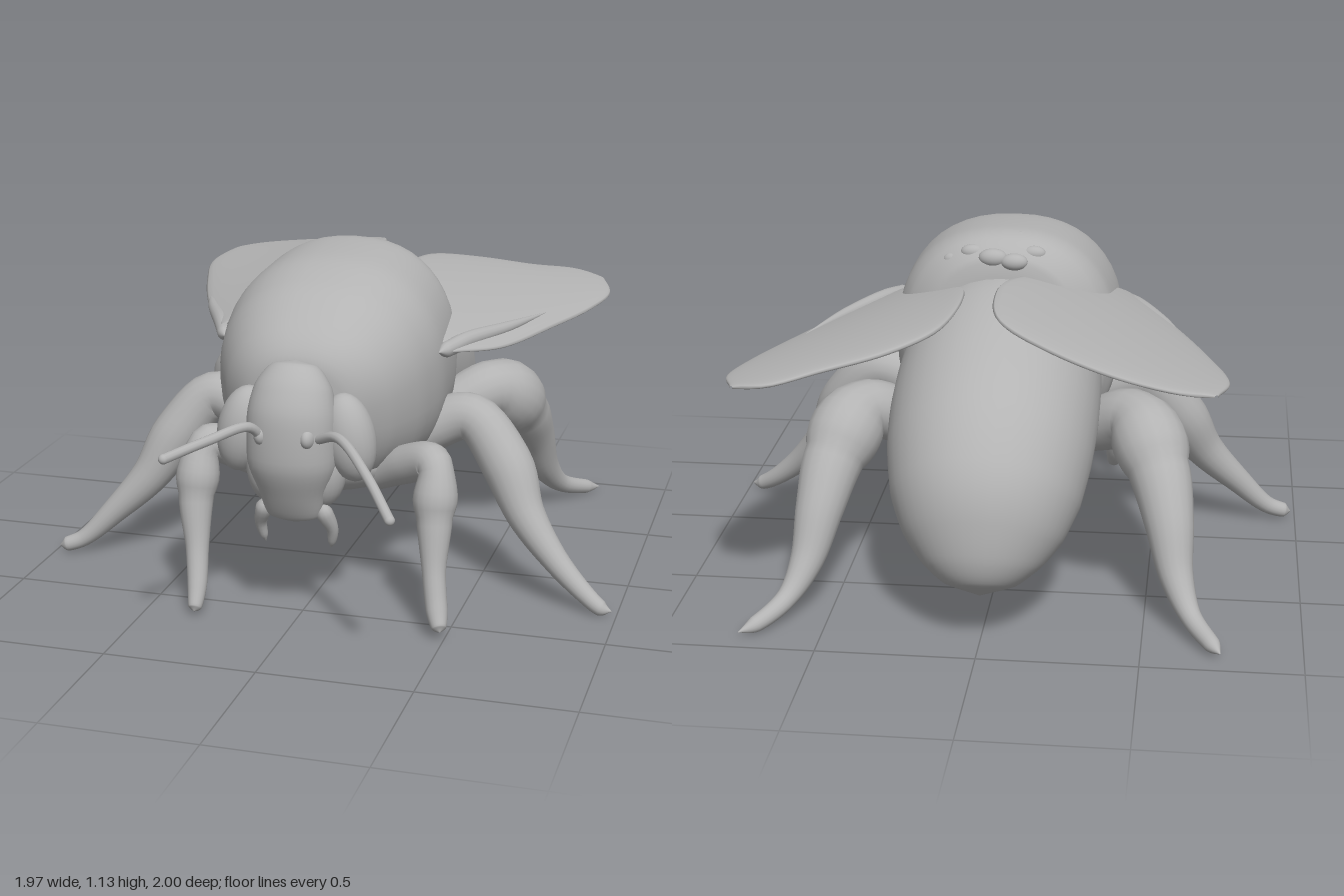
import * as THREE from 'three';

const grey = new THREE.MeshStandardMaterial({ color: 0xb3b3b3 });
grey.name = 'clay grey';

// Smooth skin over closed rings of points, each with the same number of points.
function skin(rings) {
  const pos = [], index = [], sides = rings[0].length;
  rings.forEach((ring, i) => ring.forEach((p, j) => {
    pos.push(p.x, p.y, p.z);
    if (i === rings.length - 1) return;
    const k = (j + 1) % sides, A = i * sides, B = A + sides;
    index.push(A + j, B + j, A + k, B + j, B + k, A + k);
  }));
  const g = new THREE.BufferGeometry();
  g.setAttribute('position', new THREE.Float32BufferAttribute(pos, 3));
  g.setIndex(index);
  g.computeVertexNormals();
  return g;
}

const round = (v, power) => Math.sign(v) * Math.abs(v) ** power;

// Closed loft through stations [x, y, z, half width, half height].
// power < 1 makes the cross-section squarer.
function loft(stations, { rings = 40, sides = 32, power = 1 } = {}) {
  const path = new THREE.CatmullRomCurve3(stations.map(s => new THREE.Vector3(s[0], s[1], s[2])));
  const size = new THREE.CatmullRomCurve3(stations.map(s => new THREE.Vector3(s[3], s[4] ?? s[3], 0)));
  const side = new THREE.Vector3(1, 0, 0), normal = new THREE.Vector3(), list = [];
  for (let i = 0; i <= rings; i++) {
    const c = path.getPoint(i / rings), t = path.getTangent(i / rings), r = size.getPoint(i / rings);
    side.addScaledVector(t, -side.dot(t)).normalize();
    normal.crossVectors(side, t);
    list.push(Array.from({ length: sides }, (_, j) => {
      const a = (j / sides) * Math.PI * 2;
      return c.clone()
        .addScaledVector(side, round(Math.cos(a), power) * Math.max(r.x, 0.001))
        .addScaledVector(normal, round(Math.sin(a), power) * Math.max(r.y, 0.001));
    }));
  }
  return skin(list);
}

// Thin rounded wing between a leading and a trailing edge of [x, z] points.
// It rises towards the body and flattens towards the tip.
function wing(leading, trailing, sign, base) {
  const curve = pts => new THREE.CatmullRomCurve3(pts.map(([x, z]) => new THREE.Vector3(sign * x, 0, z)));
  const front = curve(leading), back = curve(trailing), list = [], rings = 48, sides = 32;
  for (let i = 0; i <= rings; i++) {
    const a = front.getPointAt(i / rings), b = back.getPointAt(i / rings);
    const thick = 0.004 + 0.014 * Math.sin(Math.PI * i / rings) ** 0.5;
    list.push(Array.from({ length: sides }, (_, j) => {
      const angle = (j / sides) * Math.PI * 2;
      const p = a.clone().lerp(b, (1 - Math.cos(angle)) / 2);
      const inward = (0.43 - sign * p.x) * 0.935 + (0.07 - p.z) * 0.355;
      p.y = base + 0.4 * inward * (1 + 0.6 * p.z) + sign * thick * round(Math.sin(angle), 0.6);
      return p;
    }));
  }
  return skin(list);
}

export function createModel() {
  const model = new THREE.Group();
  model.name = 'bee';
  const add = (name, geometry, parent = model) => {
    const m = new THREE.Mesh(geometry, grey);
    m.name = name;
    parent.add(m);
    return m;
  };
  const ball = (name, [x, y, z], [a, b, c], parent) => {
    const m = add(name, new THREE.SphereGeometry(1, 24, 16), parent);
    m.position.set(x, y, z);
    m.scale.set(a, b, c);
    return m;
  };

  // Body
  add('thorax', loft([
    [0, 0.66, 0.565, 0.001, 0.001], [0, 0.665, 0.52, 0.17, 0.18], [0, 0.685, 0.43, 0.275, 0.275],
    [0, 0.71, 0.28, 0.35, 0.35], [0, 0.73, 0.1, 0.38, 0.385], [0, 0.74, -0.1, 0.37, 0.39],
    [0, 0.74, -0.18, 0.335, 0.375], [0, 0.74, -0.25, 0.25, 0.31], [0, 0.74, -0.28, 0.001, 0.001],
  ], { power: 0.86, sides: 48 }));
  add('abdomen', loft([
    [0, 0.69, 0.05, 0.001, 0.001], [0, 0.69, -0.05, 0.29, 0.3], [0, 0.66, -0.25, 0.33, 0.335],
    [0, 0.6, -0.45, 0.335, 0.325], [0, 0.52, -0.61, 0.325, 0.315], [0, 0.415, -0.725, 0.298, 0.29],
    [0, 0.32, -0.795, 0.25, 0.235], [0, 0.245, -0.84, 0.185, 0.175], [0, 0.19, -0.865, 0.11, 0.108],
    [0, 0.16, -0.877, 0.001, 0.001],
  ], { rings: 54, sides: 40 }));
  ball('chestPlate', [0, 0.475, 0.1], [0.32, 0.14, 0.36]);
  // Rough rim behind the thorax
  for (const [x, y, z, r] of [[-0.1, 1.07, -0.2, 0.025], [-0.05, 1.105, -0.14, 0.02], [0.03, 1.06, -0.23, 0.03],
    [0.1, 1.07, -0.2, 0.025], [-0.04, 1.05, -0.24, 0.028], [0.16, 1.04, -0.19, 0.025]])
    ball('rimBump', [x, y, z], [r * 1.6, r, r]);

  // Head
  const head = new THREE.Group();
  head.name = 'head';
  model.add(head);
  add('face', loft([
    [0, 0.35, 0.59, 0.001, 0.001], [0, 0.375, 0.595, 0.085, 0.035], [0, 0.46, 0.605, 0.11, 0.07],
    [0, 0.57, 0.61, 0.145, 0.11], [0, 0.7, 0.605, 0.145, 0.115], [0, 0.8, 0.585, 0.125, 0.095],
    [0, 0.865, 0.565, 0.075, 0.055], [0, 0.88, 0.56, 0.001, 0.001],
  ], { rings: 36 }), head);
  for (const s of [-1, 1]) {
    const eye = ball(s > 0 ? 'leftEye' : 'rightEye', [s * 0.175, 0.64, 0.56], [0.085, 0.145, 0.08], head);
    eye.rotation.z = s * 0.2;
    ball('cheek', [s * 0.085, 0.53, 0.56], [0.08, 0.13, 0.08], head);
    ball('antennaSocket', [s * 0.075, 0.665, 0.68], [0.025, 0.035, 0.04], head);
    add('mandible', loft([
      [s * 0.09, 0.43, 0.6, 0.001], [s * 0.1, 0.39, 0.59, 0.028], [s * 0.12, 0.33, 0.565, 0.02],
      [s * 0.115, 0.28, 0.55, 0.014], [s * 0.11, 0.255, 0.545, 0.001],
    ], { rings: 14, sides: 12 }), head);
  }
  const antennae = {
    rightAntenna: [[-0.07, 0.65, 0.68], [-0.1, 0.705, 0.74], [-0.19, 0.69, 0.86], [-0.285, 0.665, 0.99]],
    leftAntenna: [[0.1, 0.66, 0.67], [0.19, 0.695, 0.74], [0.32, 0.63, 0.88], [0.415, 0.535, 0.975]],
  };
  for (const [name, pts] of Object.entries(antennae)) {
    const tube = new THREE.CatmullRomCurve3(pts.map(p => new THREE.Vector3(...p)));
    add(name, new THREE.TubeGeometry(tube, 24, 0.016, 10), head);
    ball('antennaTip', pts[3], [0.016, 0.016, 0.016], head);
  }

  // Legs: hip, knee, shin, ankle and toe, each [x, y, z, radius]
  const legs = {
    rightFrontLeg: [[-0.2, 0.43, 0.3, 0.05], [-0.28, 0.5, 0.36, 0.065], [-0.35, 0.53, 0.43, 0.06],
      [-0.37, 0.38, 0.48, 0.06], [-0.35, 0.2, 0.54, 0.038], [-0.335, 0.09, 0.59, 0.032], [-0.33, 0.03, 0.63, 0.022], [-0.33, 0.02, 0.64, 0.001]],
    leftFrontLeg: [[0.2, 0.43, 0.3, 0.05], [0.32, 0.5, 0.36, 0.065], [0.42, 0.53, 0.43, 0.06],
      [0.435, 0.38, 0.48, 0.06], [0.45, 0.2, 0.54, 0.038], [0.47, 0.09, 0.58, 0.035], [0.485, 0.045, 0.61, 0.024], [0.49, 0.035, 0.62, 0.001]],
    rightMiddleLeg: [[-0.22, 0.45, 0.09, 0.06], [-0.34, 0.54, 0.05, 0.085], [-0.46, 0.575, 0.04, 0.08],
      [-0.58, 0.44, 0.08, 0.088], [-0.67, 0.29, 0.13, 0.066], [-0.79, 0.16, 0.17, 0.045], [-0.9, 0.055, 0.2, 0.03], [-0.96, 0.03, 0.215, 0.026], [-0.985, 0.025, 0.22, 0.001]],
    leftMiddleLeg: [[0.22, 0.45, 0.09, 0.06], [0.34, 0.54, 0.05, 0.085], [0.46, 0.575, 0.05, 0.08],
      [0.59, 0.44, 0.1, 0.088], [0.67, 0.29, 0.16, 0.066], [0.78, 0.16, 0.21, 0.045], [0.89, 0.065, 0.25, 0.032], [0.95, 0.03, 0.275, 0.026], [0.985, 0.025, 0.28, 0.001]],
    rightHindLeg: [[-0.2, 0.42, -0.17, 0.06], [-0.33, 0.51, -0.26, 0.09], [-0.45, 0.56, -0.35, 0.1],
      [-0.53, 0.45, -0.49, 0.1], [-0.57, 0.32, -0.6, 0.08], [-0.6, 0.17, -0.69, 0.055], [-0.65, 0.075, -0.78, 0.034], [-0.72, 0.035, -0.89, 0.026], [-0.745, 0.025, -0.93, 0.001]],
    leftHindLeg: [[0.2, 0.42, -0.17, 0.06], [0.33, 0.51, -0.26, 0.09], [0.45, 0.56, -0.35, 0.1],
      [0.52, 0.45, -0.49, 0.1], [0.55, 0.32, -0.6, 0.08], [0.58, 0.17, -0.69, 0.055], [0.63, 0.075, -0.78, 0.034], [0.71, 0.03, -0.89, 0.026], [0.755, 0.02, -0.93, 0.001]],
  };
  for (const [name, stations] of Object.entries(legs)) add(name, loft(stations, { rings: 48, sides: 18 }));

  // Wings
  add('rightWing', wing(
    [[0.4, 0.12], [0.54, -0.15], [0.68, -0.52], [0.745, -0.78], [0.71, -0.94]],
    [[0.38, 0.12], [0.15, -0.12], [0.03, -0.32], [0.005, -0.5], [0.04, -0.7], [0.2, -0.84], [0.42, -0.95], [0.6, -0.98], [0.7, -0.95]],
    -1, 0.845));
  add('leftWing', wing(
    [[0.41, 0.14], [0.54, -0.04], [0.66, -0.34], [0.75, -0.6], [0.785, -0.8], [0.74, -0.94]],
    [[0.39, 0.14], [0.18, -0.1], [0.115, -0.3], [0.115, -0.55], [0.16, -0.7], [0.29, -0.82], [0.47, -0.9], [0.62, -0.98], [0.73, -0.95]],
    1, 0.825));
  // Thick shoulder roll at each wing root
  for (const s of [-1, 1])
    add('wingRoot', loft([
      [s * 0.37, 0.825, 0.17, 0.001], [s * 0.385, 0.825, 0.13, 0.026], [s * 0.43, 0.835, 0.03, 0.028],
      [s * 0.53, 0.835, -0.17, 0.02], [s * 0.62, 0.835, -0.4, 0.001],
    ], { rings: 20, sides: 14 }));
  return model;
}
